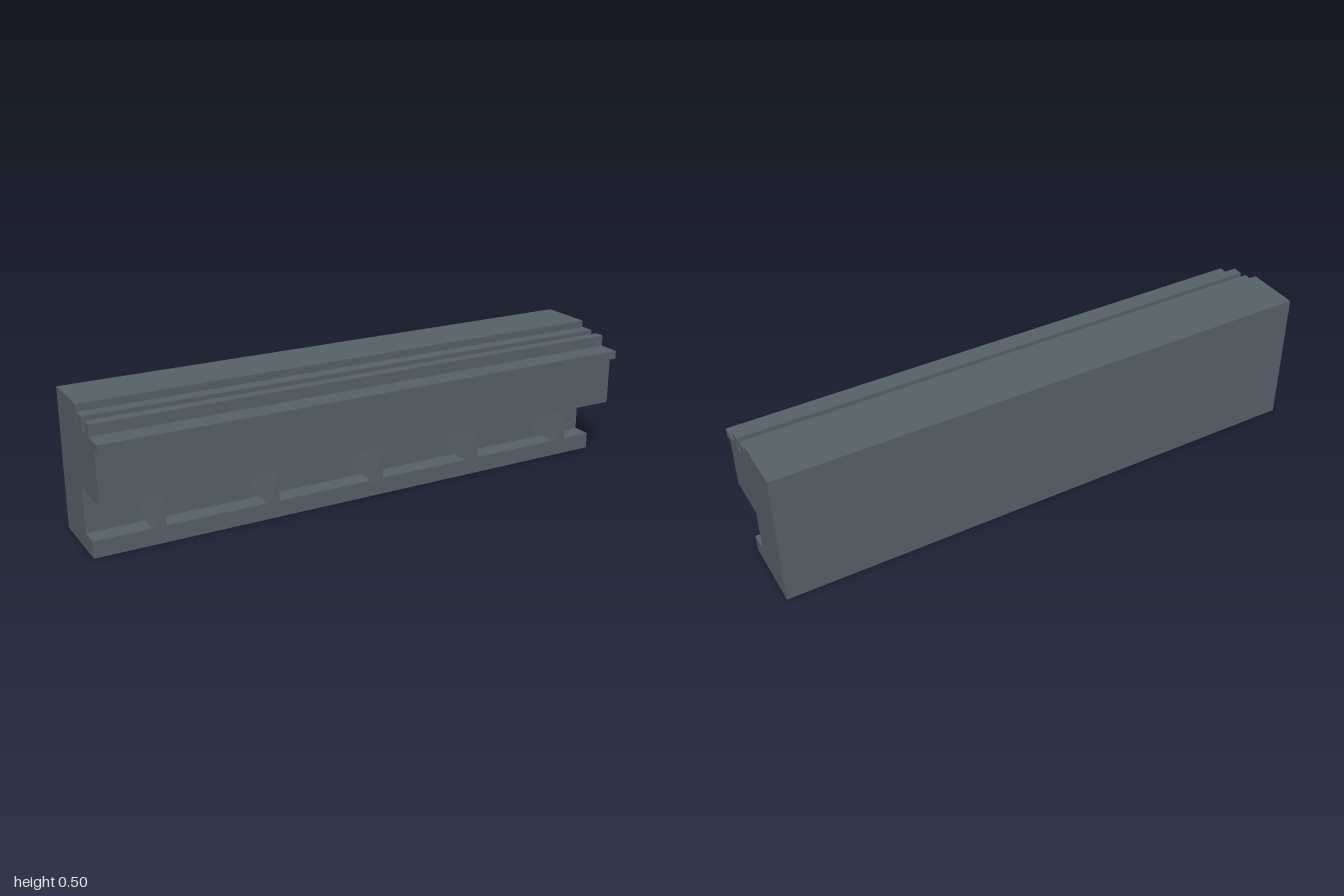
import * as THREE from 'three';

export function createModel() {
  const group = new THREE.Group();
  const slate = new THREE.MeshStandardMaterial({ color: 0x566168 });
  slate.name = 'slateGrey';

  const add = (name, geometry) => {
    const mesh = new THREE.Mesh(geometry, slate);
    mesh.name = name;
    group.add(mesh);
    return mesh;
  };
  const toShape = pts => new THREE.Shape(pts.map(([x, y]) => new THREE.Vector2(x, y)));

  // Full-length section: back wall, foot, overhanging body, ledge and two rails, as [z, y]
  const profile = [
    [-0.2, 0], [0.07, 0], [0.07, 0.06], [0, 0.06], [0, 0.22], [0.17, 0.22],
    [0.17, 0.4], [0.2, 0.4], [0.2, 0.43], [0.12, 0.43], [0.12, 0.47],
    [0.082, 0.47], [0.082, 0.43], [0.055, 0.43], [0.055, 0.476],
    [0.006, 0.476], [0.006, 0.43], [0, 0.43], [0, 0.5], [-0.2, 0.5],
  ];
  const wall = new THREE.ExtrudeGeometry(toShape(profile.map(([z, y]) => [-z, y])),
    { depth: 2, bevelEnabled: false });
  wall.translate(0, 0, -1).rotateY(Math.PI / 2);
  add('wallSection', wall);

  // Wedge brackets under the overhang
  const wedge = new THREE.ExtrudeGeometry(toShape([[-0.02, 0.09], [0.02, 0.09], [0.02, 0.22]]),
    { depth: 0.15, bevelEnabled: false });
  for (let i = 0; i < 5; i++) add('bracket', wedge).position.x = -0.8 + i * 0.4;

  // Small tabs hanging in the recess
  const tab = new THREE.BoxGeometry(0.025, 0.05, 0.05);
  for (let i = 0; i < 5; i++) add('tab', tab).position.set(0.3 + i * 0.089, 0.195, 0.025);

  return group;
}
